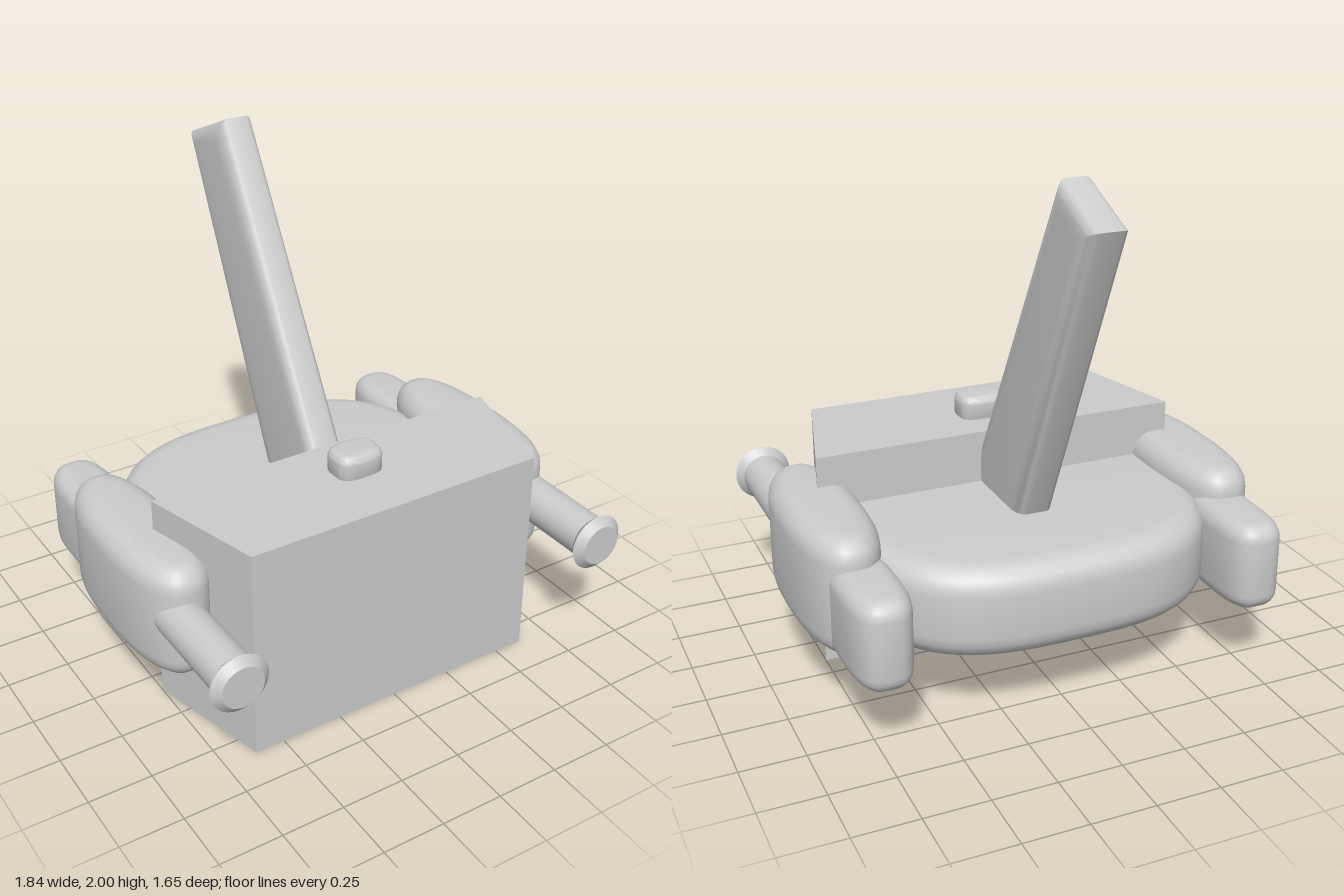
import * as THREE from 'three';
import { toCreasedNormals } from 'three/addons/utils/BufferGeometryUtils.js';

const grey = new THREE.MeshStandardMaterial({ color: 0xcccccc });
grey.name = 'plain grey';

function part(name, geometry, crease = 0.65) {
  const mesh = new THREE.Mesh(toCreasedNormals(geometry, crease), grey);
  mesh.name = name;
  return mesh;
}

// Rounded outline between an ellipse (n = 2) and a rectangle
function superellipse(a, b, n, from, to, steps) {
  const points = [];
  for (let i = 0; i < steps; i++) {
    const t = from + ((to - from) * i) / steps;
    const c = Math.cos(t), s = Math.sin(t);
    points.push(new THREE.Vector2(
      a * Math.sign(c) * Math.abs(c) ** (2 / n),
      b * Math.sign(s) * Math.abs(s) ** (2 / n)));
  }
  return points;
}

// Upright slab with softened top and bottom rims; outline y becomes -z
function slab(points, y0, y1, bevel, rise = bevel) {
  const g = new THREE.ExtrudeGeometry(new THREE.Shape(points), {
    depth: y1 - y0 - 2 * rise, bevelThickness: rise, bevelSize: bevel,
    bevelOffset: -bevel, bevelSegments: 5, steps: 1,
  });
  return g.rotateX(-Math.PI / 2).translate(0, y0 + rise, 0);
}

export function createModel() {
  const model = new THREE.Group();
  model.name = 'model';

  // Front block, narrower toward the front
  const blockShape = new THREE.Shape([
    new THREE.Vector2(-0.62, -0.595), new THREE.Vector2(0.62, -0.595),
    new THREE.Vector2(0.75, -0.095), new THREE.Vector2(-0.75, -0.095),
  ]);
  const block = new THREE.ExtrudeGeometry(blockShape, { depth: 0.87, bevelEnabled: false });
  model.add(part('frontBlock', block.rotateX(-Math.PI / 2), 0.1));

  // Rounded rear hull, its straight front buried in the block
  const hullOutline = superellipse(0.72, 0.78, 3, 0, Math.PI, 48)
    .map((p) => new THREE.Vector2(p.x, p.y - 0.1));
  hullOutline.push(new THREE.Vector2(-0.72, -0.1),
    new THREE.Vector2(-0.62, -0.25), new THREE.Vector2(0.62, -0.25));
  model.add(part('rearHull', slab(hullOutline, 0.295, 0.66, 0.1)));

  // Swept-back fin with softened edges
  const fin = new THREE.ExtrudeGeometry(new THREE.Shape([
    new THREE.Vector2(-0.245, 0.6), new THREE.Vector2(0.235, 0.6),
    new THREE.Vector2(0.825, 1.88), new THREE.Vector2(0.545, 2.0),
  ]), {
    depth: 0.08, bevelThickness: 0.038, bevelSize: 0.08,
    bevelOffset: -0.08, bevelSegments: 5, steps: 1,
  });
  model.add(part('fin', fin.translate(0, 0, -0.04).rotateY(Math.PI / 2), 0.5));

  // Small button on top of the block
  const button = part('topButton',
    slab(superellipse(0.098, 0.077, 3.2, 0, Math.PI * 2, 40), 0.85, 0.962, 0.03));
  button.position.z = 0.295;
  model.add(button);

  // Side pods and barrels
  for (const side of [-1, 1]) {
    const arm = new THREE.Group();
    arm.name = side > 0 ? 'leftArm' : 'rightArm';

    const pod = part('mainPod',
      slab(superellipse(0.16, 0.42, 2.5, 0, Math.PI * 2, 56), 0.28, 0.75, 0.09));
    pod.position.x = side * 0.762;

    const rear = part('rearPod',
      slab(superellipse(0.117, 0.25, 3, 0, Math.PI * 2, 48), 0.297, 0.648, 0.065));
    rear.position.set(side * 0.738, 0, -0.46);

    const barrelProfile = [[0, 0.2], [0.087, 0.2], [0.087, 0.765], [0.115, 0.795], [0.082, 0.825], [0, 0.825]]
      .map(([r, z]) => new THREE.Vector2(r, z));
    const barrel = part('barrel',
      new THREE.LatheGeometry(barrelProfile, 32).rotateX(Math.PI / 2), 0.5);
    barrel.position.set(side * 0.79, 0.54, 0);

    arm.add(pod, rear, barrel);
    model.add(arm);
  }
  return model;
}
